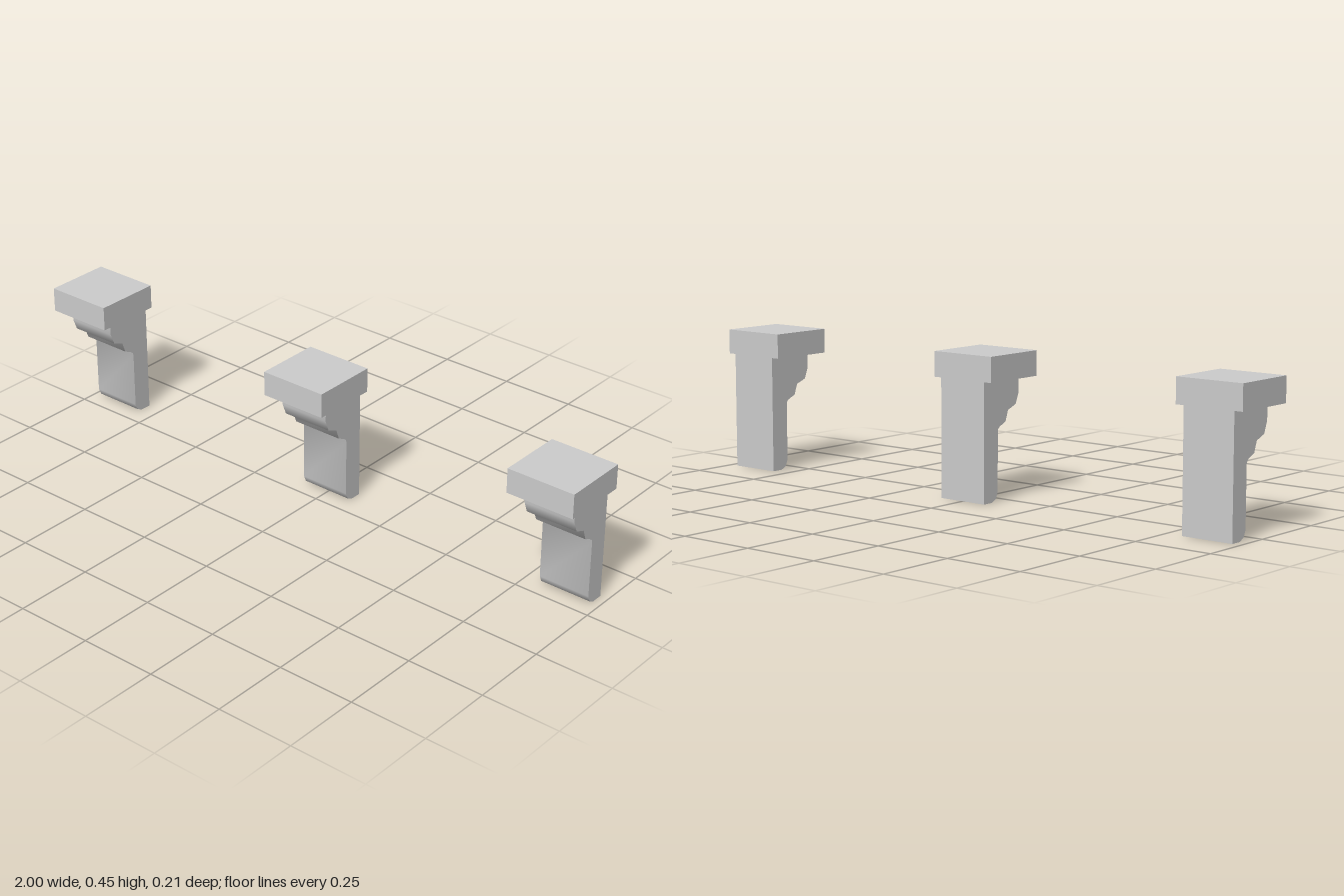
import * as THREE from 'three';
import { toCreasedNormals } from 'three/addons/utils/BufferGeometryUtils.js';

export function createModel() {
  const model = new THREE.Group();
  const material = new THREE.MeshStandardMaterial({ color: 0xcccccc });

  // Stepped side profile of the corbel body, as (z, y) points
  const profile = [
    [-0.107, 0], [-0.071, 0], [-0.052, 0.009], [-0.043, 0.03],
    [-0.043, 0.212], [-0.041, 0.22], [-0.034, 0.227], [-0.007, 0.239],
    [0.005, 0.273], [0.041, 0.287], [0.055, 0.323], [0.055, 0.368], [-0.107, 0.368],
  ].map(([z, y]) => new THREE.Vector2(z, y));

  const width = 0.168;
  const extruded = new THREE.ExtrudeGeometry(new THREE.Shape(profile), { depth: width, bevelEnabled: false });
  extruded.translate(0, 0, -width / 2).rotateY(-Math.PI / 2);
  const bodyGeometry = toCreasedNormals(extruded, 0.95);

  // Square slab on top
  const capGeometry = new THREE.BoxGeometry(0.222, 0.078, 0.214).translate(0, 0.407, 0);

  // Three equally spaced corbels
  ['rightCorbel', 'middleCorbel', 'leftCorbel'].forEach((name, i) => {
    const corbel = new THREE.Group();
    corbel.name = name;
    corbel.position.x = (i - 1) * 0.889;
    const body = new THREE.Mesh(bodyGeometry, material);
    body.name = 'body';
    const cap = new THREE.Mesh(capGeometry, material);
    cap.name = 'cap';
    corbel.add(body, cap);
    model.add(corbel);
  });

  return model;
}
